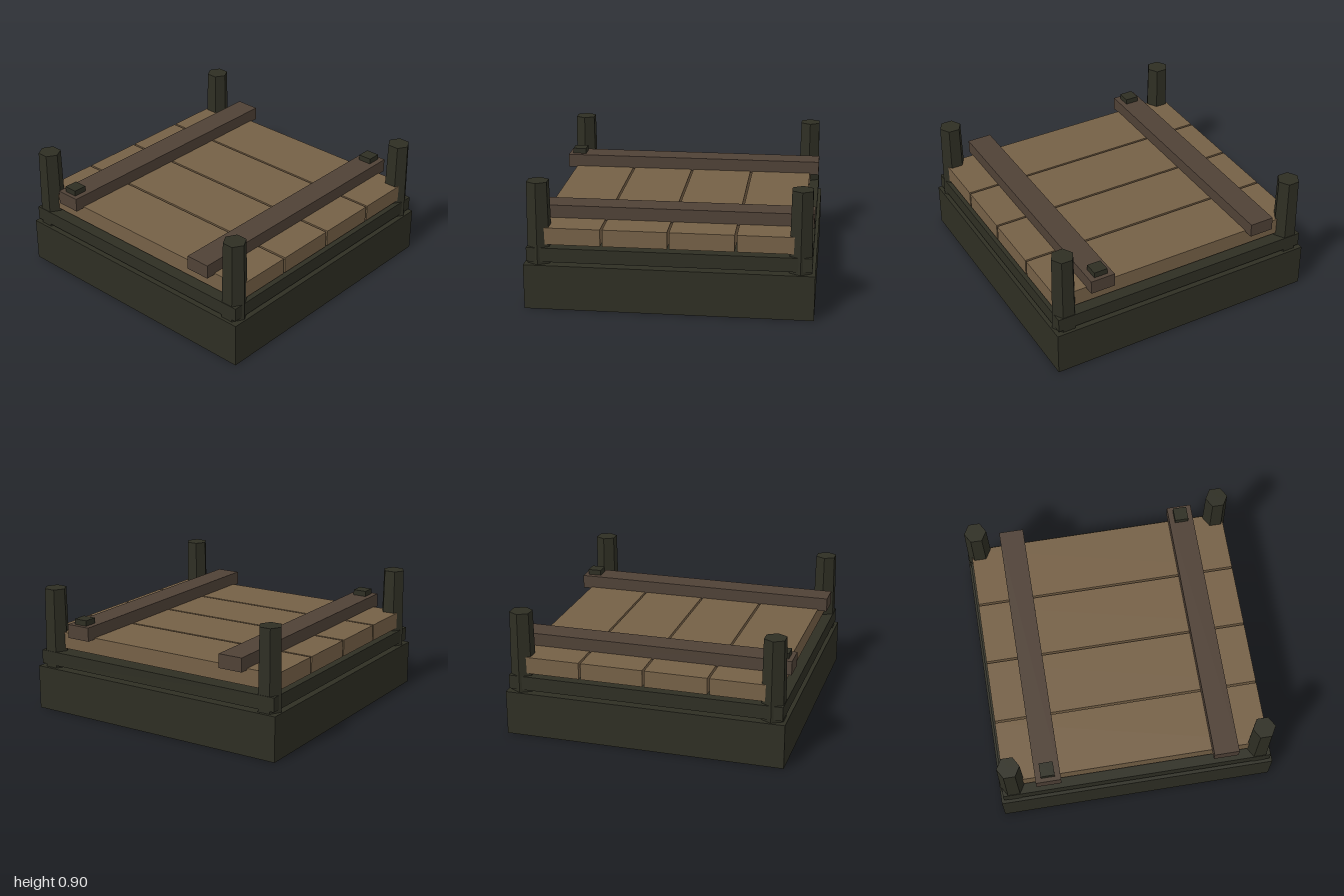
import * as THREE from 'three';

const material = (name, color) => {
  const m = new THREE.MeshStandardMaterial({ color });
  m.name = name;
  return m;
};

export function createModel() {
  const group = new THREE.Group();
  const iron = material('darkIron', 0x2e2e23);
  const wood = material('plankWood', 0x756046);
  const beamWood = material('beamWood', 0x4f4136);

  const add = (name, geometry, mat, x, y, z) => {
    const mesh = new THREE.Mesh(geometry, mat);
    mesh.name = name;
    mesh.position.set(x, y, z);
    group.add(mesh);
  };
  const box = (name, mat, w, y0, y1, d, x = 0, z = 0) =>
    add(name, new THREE.BoxGeometry(w, y1 - y0, d), mat, x, (y0 + y1) / 2, z);

  // Solid base with a slightly smaller frame floating just above it
  box('base', iron, 2, 0, 0.32, 2);
  box('frame', iron, 1.96, 0.34, 0.44, 1.96);

  // Four deck planks with narrow gaps
  for (let i = 0; i < 4; i++) {
    box('plank', wood, 0.445, 0.46, 0.58, 1.92, (i - 1.5) * 0.46);
  }

  // Cross beams, each with a small block at opposite ends
  for (const s of [-1, 1]) {
    box('crossBeam', beamWood, 1.96, 0.57, 0.67, 0.18, 0, s * 0.64);
    box('beamBlock', iron, 0.1, 0.67, 0.71, 0.1, s * 0.9, s * 0.64);
  }

  // Tapered six-sided corner posts, corners facing front and back
  const post = new THREE.CylinderGeometry(0.081, 0.09, 0.58, 6).toNonIndexed();
  post.computeVertexNormals();
  for (const x of [-0.9, 0.9]) {
    for (const z of [-0.9, 0.9]) add('cornerPost', post, iron, x, 0.61, z);
  }
  return group;
}
